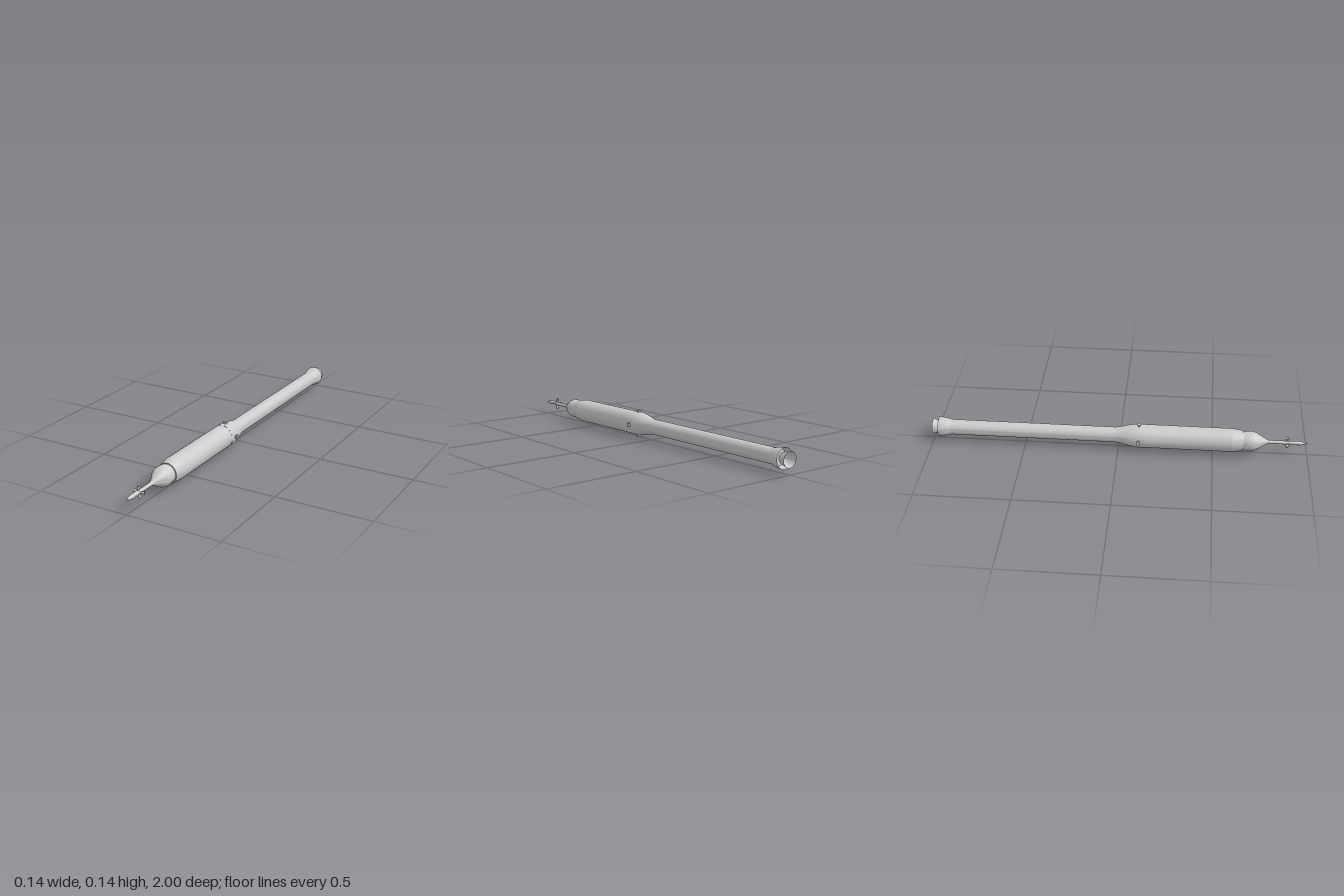
import * as THREE from 'three';
import { toCreasedNormals } from 'three/addons/utils/BufferGeometryUtils.js';

const AXIS_Y = 0.0725;

export function createModel() {
  const model = new THREE.Group();
  const rocket = new THREE.Group();
  rocket.name = 'rocket';
  rocket.position.y = AXIS_Y;
  model.add(rocket);

  const solid = new THREE.MeshStandardMaterial({ color: 0xcccccc });
  const open = new THREE.MeshStandardMaterial({ color: 0xcccccc, side: THREE.DoubleSide });

  // Profile of [z, radius] pairs, listed from tail to nose, turned about the z axis
  function turned(name, profile, material = solid, sides = 32) {
    const points = profile.map(([z, r]) => new THREE.Vector2(r, z));
    const geometry = new THREE.LatheGeometry(points, sides).rotateX(Math.PI / 2);
    const mesh = new THREE.Mesh(toCreasedNormals(geometry, 0.5), material);
    mesh.name = name;
    rocket.add(mesh);
  }

  // First stage with its flared tail skirt
  turned('engineNozzle', [[-1, 0.041], [-0.985, 0.037], [-0.965, 0.031], [-0.95, 0.023], [-0.94, 0.012], [-0.937, 0]], open);
  turned('tailSkirt', [[-0.93, 0], [-0.93, 0.042], [-0.967, 0.052], [-0.962, 0.053], [-0.92, 0.046], [-0.9, 0.0405]], open);
  turned('firstStage', [[-0.92, 0.0405], [-0.02, 0.0405]]);

  // Interstage and upper stage
  turned('interstage', [[-0.02, 0.0405], [0, 0.043], [0.03, 0.05], [0.065, 0.0575], [0.09, 0.0615], [0.1, 0.0625], [0.14, 0.0625]]);
  turned('upperStage', [[0.14, 0.062], [0.6, 0.062]]);
  turned('serviceFairing', [[0.6, 0.062], [0.63, 0.0585], [0.66, 0.0535], [0.66, 0]]);

  // Crew capsule with rounded shoulder
  turned('capsule', [[0.655, 0.047], [0.67, 0.05], [0.69, 0.052], [0.71, 0.0515], [0.725, 0.047],
    [0.745, 0.036], [0.765, 0.024], [0.78, 0.015], [0.787, 0.011]]);

  // Escape tower
  turned('escapeTower', [[0.775, 0.0125], [0.8, 0.0095], [0.885, 0.0095], [0.905, 0.011], [0.95, 0.011],
    [0.96, 0.0105], [0.985, 0.005], [1, 0]], solid, 16);

  // Four flared escape nozzles and four thruster blocks around the hull
  for (let i = 0; i < 4; i++) {
    const ring = new THREE.Group();
    ring.rotation.z = i * Math.PI / 2;
    rocket.add(ring);

    const nozzle = new THREE.Mesh(new THREE.CylinderGeometry(0.008, 0.003, 0.024, 12, 1, true), open);
    nozzle.name = 'escapeNozzle';
    nozzle.position.set(0, 0.0175, 0.895);
    nozzle.rotation.x = -0.45;
    ring.add(nozzle);

    const thruster = new THREE.Group();
    thruster.name = 'thrusterBlock';
    thruster.position.set(0, 0, 0.108);
    const base = new THREE.Mesh(new THREE.BoxGeometry(0.017, 0.012, 0.012), solid);
    base.name = 'thrusterBase';
    base.position.y = 0.064;
    const cap = new THREE.Mesh(new THREE.BoxGeometry(0.022, 0.0035, 0.016), solid);
    cap.name = 'thrusterCap';
    cap.position.y = 0.0707;
    thruster.add(base, cap);
    ring.add(thruster);
  }
  return model;
}
